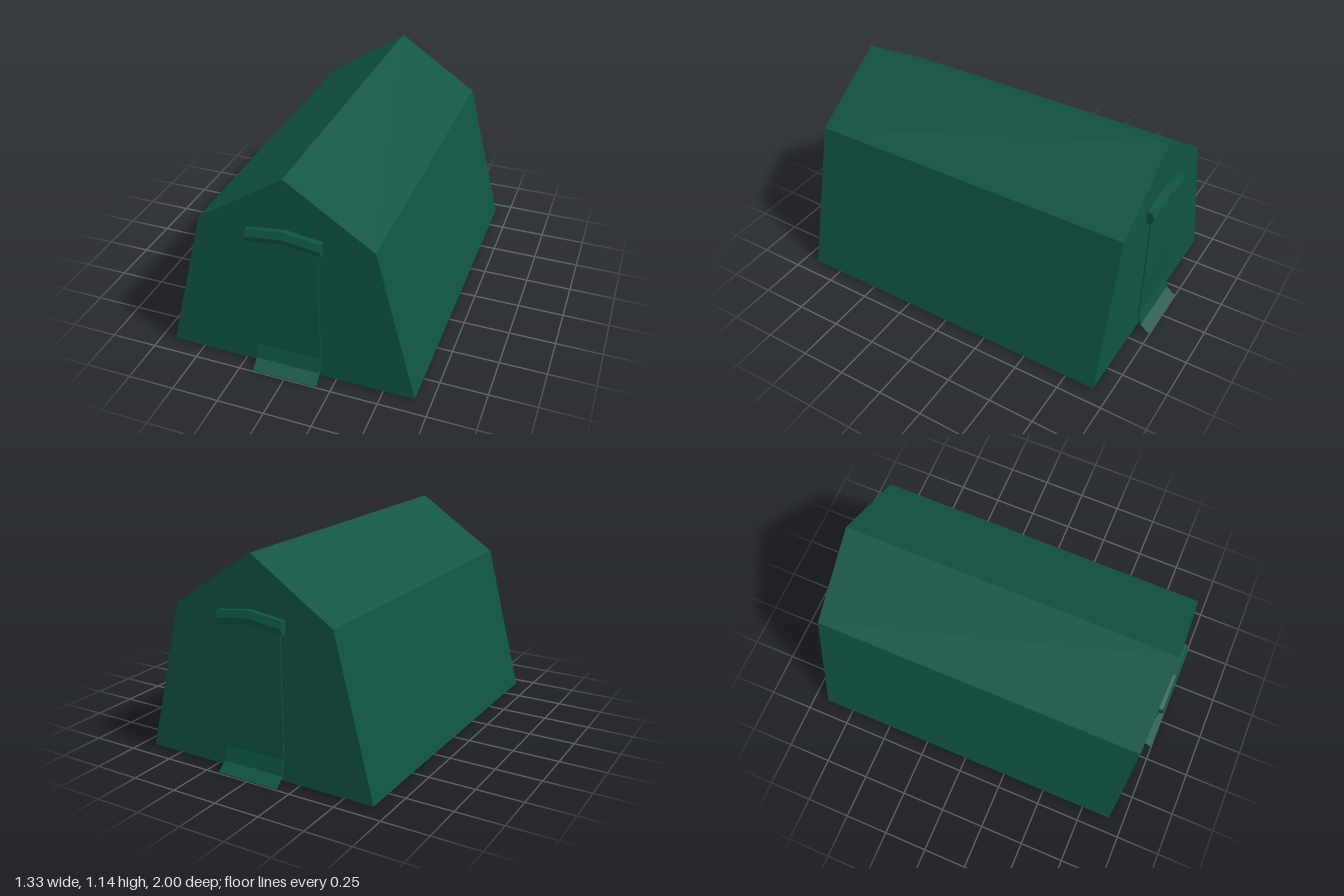
import * as THREE from 'three';

const shapeOf = (points) => new THREE.Shape(points.map(([a, b]) => new THREE.Vector2(a, b)));

// Sweep a (z, y) profile along x, centred on x = 0
function sweepAcross(profile, width, steps) {
  const geo = new THREE.ExtrudeGeometry(shapeOf(profile), { depth: width, steps, bevelEnabled: false });
  geo.translate(0, 0, -width / 2);
  geo.rotateY(-Math.PI / 2);
  return geo;
}

export function createModel() {
  const canvas = new THREE.MeshStandardMaterial({ color: 0x0f5443, flatShading: true });
  canvas.name = 'greenCanvas';

  const tent = new THREE.Group();
  tent.name = 'tent';
  const add = (parent, geo, name) => {
    const mesh = new THREE.Mesh(geo, canvas);
    mesh.name = name;
    parent.add(mesh);
  };

  // Tent body: steep walls and a pitched roof, with a closed floor
  const length = 1.83;
  const bodyGeo = new THREE.ExtrudeGeometry(
    shapeOf([[-0.667, 0.01], [0.667, 0.01], [0.453, 0.836], [0, 1.137], [-0.453, 0.836]]),
    { depth: length, bevelEnabled: false }
  );
  bodyGeo.translate(0, 0, -length / 2);
  add(tent, bodyGeo, 'tentBody');

  // Hanging door sheet, flaring out onto the ground
  const outer = [[0.934, 0.8], [0.934, 0.43], [0.929, 0.13], [0.947, 0.05], [1.0, 0.007]];
  const inner = outer.map(([z, y], i) => [z - 0.006, y - (i > 2 ? 0.007 : 0)]).reverse();
  const doorGeo = sweepAcross([...inner, ...outer], 0.348, 1);

  // Bent awning above the door, dropping towards both ends
  const awningGeo = sweepAcross(
    [[0.914, 0.795], [0.94, 0.795], [0.955, 0.83], [0.942, 0.865], [0.914, 0.865]], 0.384, 2
  );
  const pos = awningGeo.attributes.position;
  for (let i = 0; i < pos.count; i++) pos.setY(i, pos.getY(i) - 0.13 * Math.abs(pos.getX(i)));
  awningGeo.computeVertexNormals();

  // Same entrance at both ends
  for (const [name, turn] of [['frontEntrance', 0], ['backEntrance', Math.PI]]) {
    const entrance = new THREE.Group();
    entrance.name = name;
    entrance.rotation.y = turn;
    add(entrance, doorGeo, 'doorFlap');
    add(entrance, awningGeo, 'doorAwning');
    tent.add(entrance);
  }
  return tent;
}
